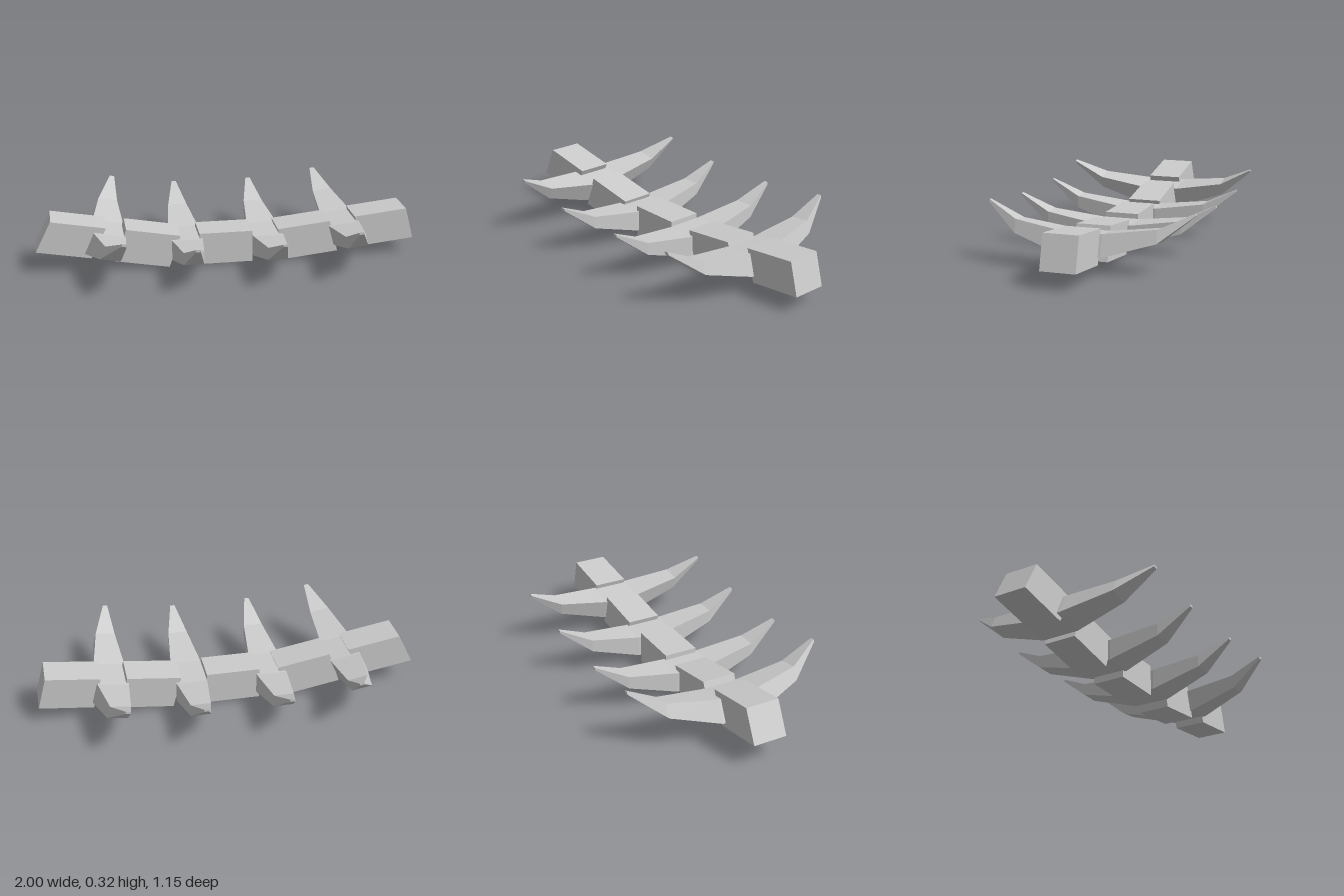
import * as THREE from 'three';

const material = new THREE.MeshStandardMaterial({ color: 0xcccccc, flatShading: true });

// Vertebrae: centre x, y, then the skewed block's length and height directions
const VERTEBRAE = [
  { x: -0.815, y: 0.185, along: [0.28, -0.05], up: [0.08, 0.16] },
  { x: -0.423, y: 0.115, along: [0.28, -0.05], up: [0.06, 0.17] },
  { x: -0.014, y: 0.095, along: [0.28, 0], up: [0, 0.17] },
  { x: 0.424, y: 0.11, along: [0.28, 0.03], up: [-0.045, 0.17] },
  { x: 0.838, y: 0.158, along: [0.28, 0.03], up: [-0.045, 0.167] },
];

// Rib pairs: centre x, lift, sideways lean per height, slope along x
const RIBS = [
  { x: -0.642, lift: 0.05, lean: 0.45, slope: -0.18 },
  { x: -0.218, lift: 0, lean: 0, slope: 0 },
  { x: 0.208, lift: 0, lean: 0, slope: 0 },
  { x: 0.63, lift: 0.04, lean: -0.27, slope: 0.12 },
];

// Rib cross-sections from the middle outwards: z, half width, bottom, top
const STATIONS = [
  [0.1, 0.08, 0.046, 0.155],
  [0.357, 0.051, 0.125, 0.19],
  [0.523, 0.012, 0.258, 0.27],
];

function vertebra({ x, y, along, up }) {
  const skew = new THREE.Matrix4().makeBasis(
    new THREE.Vector3(along[0], along[1], 0),
    new THREE.Vector3(up[0], up[1], 0),
    new THREE.Vector3(0, 0, 0.175),
  ).setPosition(x, y, 0);
  return new THREE.BoxGeometry(1, 1, 1).applyMatrix4(skew);
}

// A box in five lengths, each ring moved onto its cross-section
function ribPair({ x, lift, lean, slope }) {
  const geometry = new THREE.BoxGeometry(2, 1, 5, 1, 1, 5);
  const p = geometry.attributes.position;
  for (let i = 0; i < p.count; i++) {
    const ring = p.getZ(i);
    const [z, halfWidth, bottom, top] = STATIONS[Math.round(Math.abs(ring) - 0.5)];
    const px = p.getX(i) * halfWidth;
    const py = p.getY(i) > 0 ? top : bottom;
    p.setXYZ(i, x + px + lean * (py - 0.1), py + lift + slope * px, Math.sign(ring) * z);
  }
  return geometry;
}

export function createModel() {
  const model = new THREE.Group();
  model.name = 'spineWithRibs';
  const add = (name, geometry) => {
    geometry.computeVertexNormals();
    const mesh = new THREE.Mesh(geometry, material);
    mesh.name = name;
    model.add(mesh);
  };
  VERTEBRAE.forEach((v, i) => add(`vertebra${i + 1}`, vertebra(v)));
  RIBS.forEach((r, i) => add(`ribPair${i + 1}`, ribPair(r)));

  // The whole spine lies slightly turned
  model.rotation.y = -0.09;
  return model;
}
